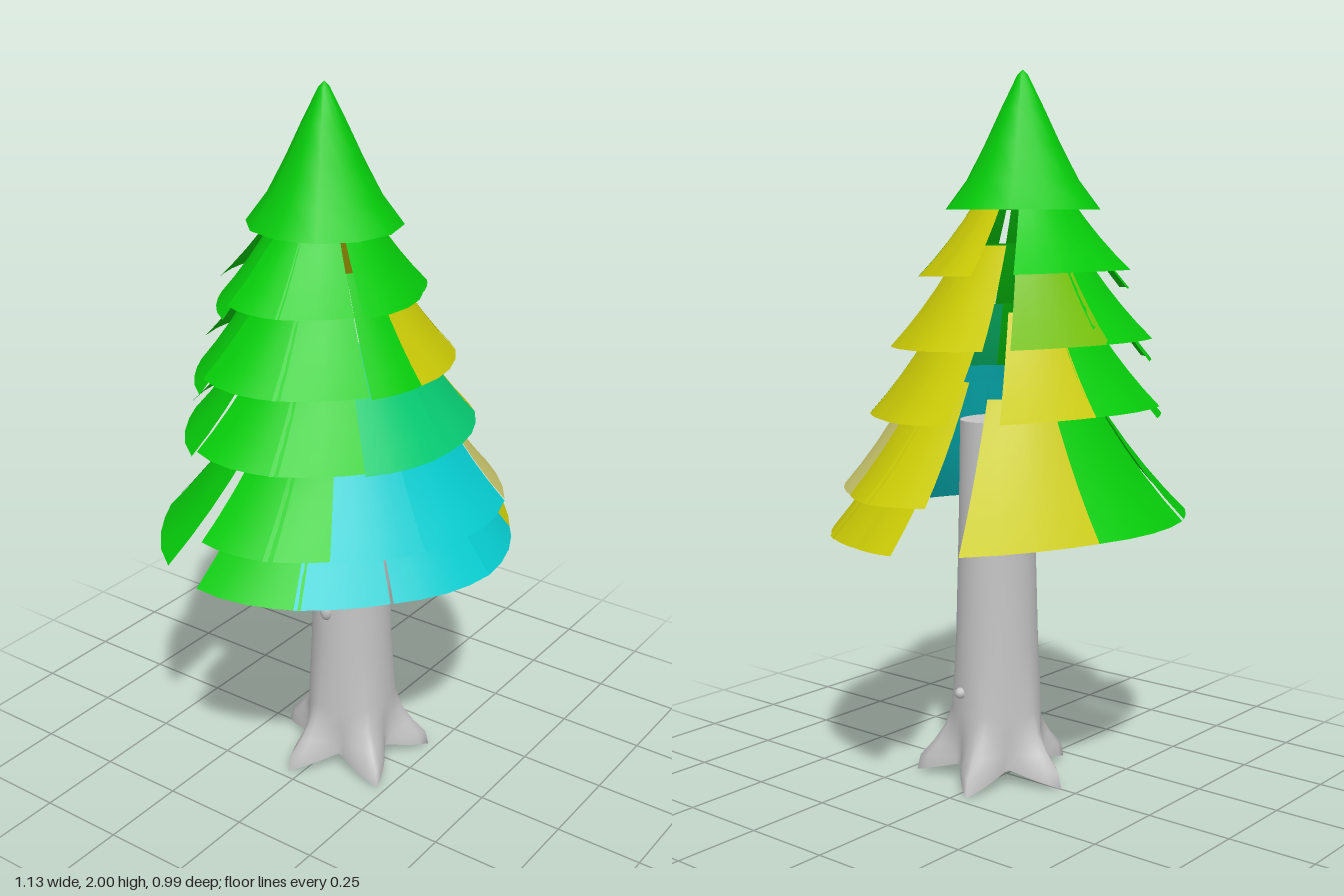
import * as THREE from 'three';
import { mergeVertices } from 'three/addons/utils/BufferGeometryUtils.js';

const mat = (name, color) => {
  const m = new THREE.MeshStandardMaterial({ color, side: THREE.DoubleSide });
  m.name = name;
  return m;
};

// Smooth surface from a rule: u runs around (from +z towards +x), v runs upwards
function grid(nu, nv, point) {
  const pos = [], index = [];
  for (let j = 0; j <= nv; j++)
    for (let i = 0; i <= nu; i++) pos.push(...point(i / nu, j / nv, j));
  for (let j = 0; j < nv; j++)
    for (let i = 0; i < nu; i++) {
      const a = j * (nu + 1) + i, b = a + nu + 1;
      index.push(a, a + 1, b + 1, a, b + 1, b);
    }
  let g = new THREE.BufferGeometry();
  g.setAttribute('position', new THREE.Float32BufferAttribute(pos, 3));
  g.setIndex(index);
  g = mergeVertices(g);
  g.computeVertexNormals();
  return g;
}

export function createModel() {
  const group = new THREE.Group();
  const G = mat('leaf green', 0x06cb0a);
  const Y = mat('leaf yellow', 0xc8c806);
  const C = mat('leaf cyan', 0x06cbce);
  const T = mat('leaf teal', 0x06cb72);
  const B = mat('leaf beige', 0xc9c66c);
  const L = mat('leaf lime', 0x74be08);
  const bark = mat('bark grey', 0xc4c4c4);

  const add = (name, geometry, material, parent = group) => {
    const m = new THREE.Mesh(geometry, material);
    m.name = name;
    parent.add(m);
    return m;
  };

  // Trunk with five pointed roots: y, radius, root reach, depth factor
  const rows = [
    [0, 0.125, 0.11, 1], [0.045, 0.125, 0.1, 1], [0.09, 0.125, 0.06, 1], [0.14, 0.128, 0.025, 0.98],
    [0.2, 0.13, 0.004, 0.97], [0.4, 0.124, 0, 0.92], [0.72, 0.118, 0, 0.88], [1.04, 0.112, 0, 0.88],
  ];
  const trunkZ = 0.035;
  add('trunk', grid(60, rows.length - 1, (u, v, j) => {
    const [y, r, reach, depth] = rows[j];
    const a = u === 1 ? 0 : u * Math.PI * 2;
    // Ridges stand at 36 + 72n degrees; the hem arches up between them
    const lobe = Math.pow(1 - Math.abs(((u * 5) % 1) - 0.5) * 2, 1.5);
    const lift = Math.max(0, 0.045 - y / 2) * (1 - lobe);
    const rad = r + reach * lobe;
    return [rad * Math.sin(a), y + lift, trunkZ + rad * depth * Math.cos(a)];
  }), bark);
  const top = add('trunkTop', new THREE.CircleGeometry(0.112, 24), bark);
  top.rotation.x = -Math.PI / 2;
  top.scale.y = 0.88;
  top.position.set(0, 1.04, trunkZ);

  // Bark knots
  for (const [x, y, z, r, sy] of [[-0.118, 0.52, 0.03, 0.02, 1.5], [0.128, 0.26, 0.065, 0.016, 1]]) {
    const k = add('knot', new THREE.SphereGeometry(r, 12, 8), bark);
    k.position.set(x, y, z);
    k.scale.y = sy;
  }

  // Pointed crown
  const profile = [[0.215, 1.625], [0.155, 1.705], [0.105, 1.8], [0.06, 1.895], [0.015, 1.985], [0, 2]]
    .map(([r, y]) => new THREE.Vector2(r, y));
  const crown = add('crown', new THREE.LatheGeometry(profile, 12), G);
  crown.position.set(0.005, 0, -0.06);

  // Tiers of overlapping leaf panels: [material, start angle, end angle]
  const tiers = [
    { r: 0.28, cz: -0.06, y: 1.45, rTop: 0.1, rise: 0.25, sag: 0.05, panels: [[G, -32, 29], [G, 27, 48],
      [Y, 45, 75], [Y, 73, 105], [G, 124, 174], [G, 172, 214], [G, 205, 248], [G, 254, 285], [G, 283, 323]] },
    { r: 0.35, cz: -0.05, y: 1.26, rTop: 0.16, rise: 0.27, sag: 0.06, panels: [[G, -35, -7], [Y, -7, 42],
      [Y, 43, 76], [Y, 75, 115], [L, 125, 172], [G, 167, 213], [G, 206, 246], [G, 251, 288], [G, 285, 325]] },
    { r: 0.395, cz: -0.03, y: 1.075, rTop: 0.2, rise: 0.28, sag: 0.03, panels: [[T, -42, -1], [T, -1, 43],
      [Y, 42, 73], [Y, 70, 107], [Y, 124, 162], [G, 161, 207], [G, 203, 248], [G, 253, 287], [G, 284, 319]] },
    { r: 0.455, cz: 0, y: 0.87, rTop: 0.25, rise: 0.3, sag: 0, panels: [[C, -58, -25], [C, -25, 26],
      [B, 27, 68], [Y, 65, 87], [Y, 84, 106], [G, 261, 285], [G, 282, 303]] },
    { r: 0.49, cz: 0, y: 0.755, rTop: 0.24, rise: 0.37, sag: 0, panels: [[C, -68, -39], [C, -38, -1],
      [C, -1, 37], [Y, 34, 67], [Y, 60, 86], [Y, 82, 99], [Y, 117, 159], [G, 159, 205], [G, 208, 248],
      [G, 263, 294]] },
  ];
  tiers.forEach((t, n) => {
    const ring = new THREE.Group();
    ring.name = 'leafTier' + (n + 1);
    group.add(ring);
    t.panels.forEach(([m, a0, a1], i) => {
      const tilt = i % 2 ? 0.016 : -0.016;
      const low = t.y - (a0 > 200 && a1 < 250 ? t.sag : 0);
      add('leafPanel', grid(4, 5, (u, v) => {
        const a = THREE.MathUtils.degToRad(a0 + (a1 - a0) * u);
        // The crown of leaves spreads widest just behind its two sides
        const side = Math.acos(Math.cos(a)) - 1.75;
        const edge = t.r * (1 + 0.17 * Math.pow(Math.cos(side), 6)) + tilt * (u - 0.5);
        // Concave flare from the upper edge down to the hem, which hangs lower in front
        const r = t.rTop + (edge - t.rTop) * (1 - v) * (1 - 0.1 * v);
        const hem = low - 0.04 * (t.cz + edge * Math.cos(a));
        const y = hem + (t.y + t.rise - hem) * v * (0.85 + 0.15 * v);
        return [r * Math.sin(a), y, t.cz + r * Math.cos(a)];
      }), m, ring);
    });
  });
  return group;
}
